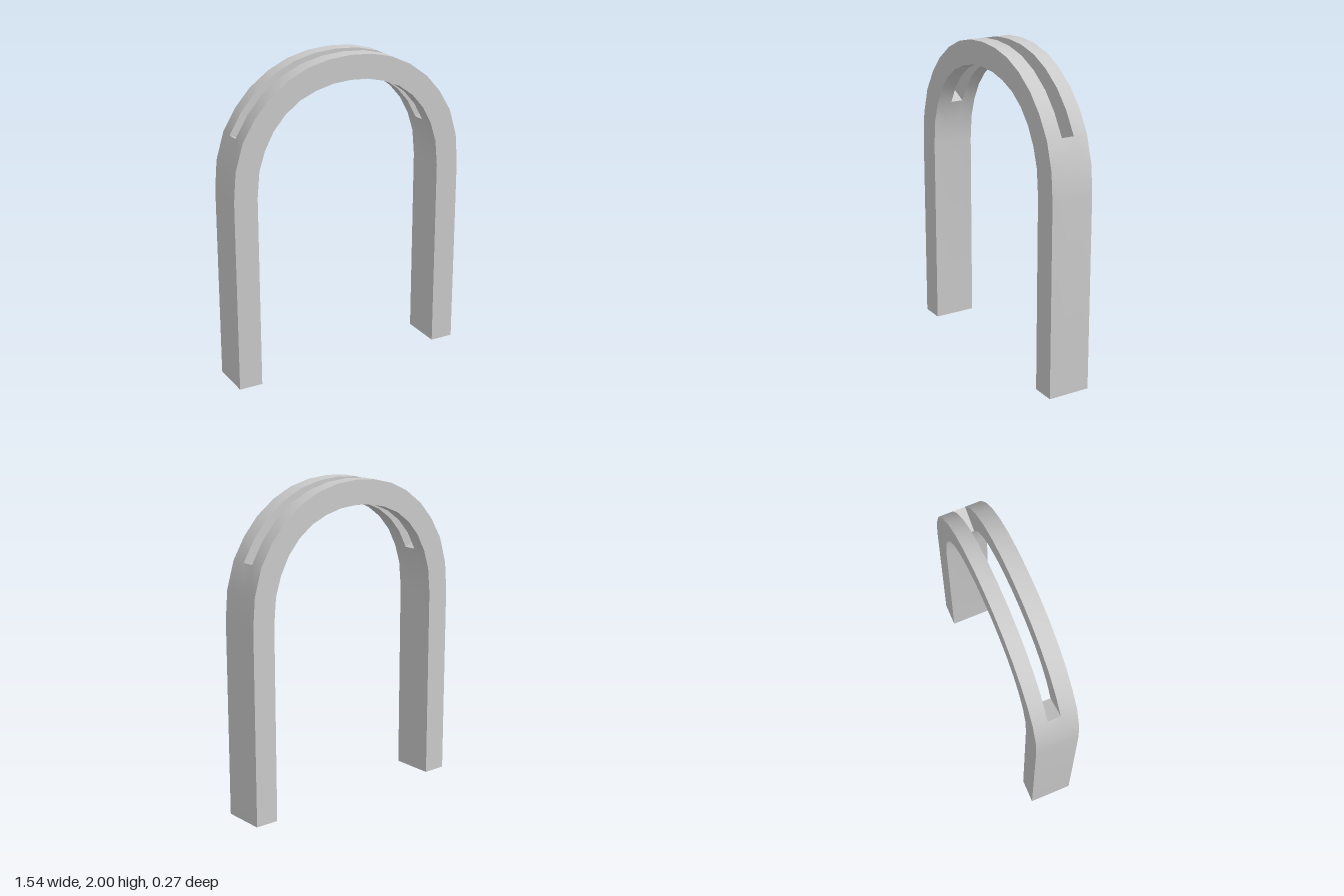
import * as THREE from 'three';
import { toCreasedNormals } from 'three/addons/utils/BufferGeometryUtils.js';

// Right half of the arch, foot to crown: [outer x, outer y, inner x, inner y]
const HALF = [
  [0.77, 0, 0.62, 0],
  [0.77, 1.22, 0.62, 1.22],
  [0.755, 1.40, 0.605, 1.38],
  [0.705, 1.568, 0.567, 1.50],
  [0.625, 1.70, 0.508, 1.61],
  [0.53, 1.807, 0.43, 1.70],
  [0.408, 1.897, 0.335, 1.77],
  [0.28, 1.957, 0.228, 1.815],
  [0.143, 1.99, 0.117, 1.842],
  [0, 2, 0, 1.85],
];
const SLOT_START = 3; // station where the slot through the curve begins
const Z = [-0.135, -0.045, 0.035, 0.135]; // back, slot back, slot front, front

function archGeometry() {
  const mirrored = HALF.slice(0, -1).reverse().map(([ox, oy, ix, iy]) => [-ox, oy, -ix, iy]);
  const stations = [...HALF, ...mirrored];
  const last = stations.length - 1;
  const outer = (i, z) => [stations[i][0], stations[i][1], z];
  const inner = (i, z) => [stations[i][2], stations[i][3], z];

  const positions = [];
  const quad = (a, b, c, d, flip = false) => {
    const [p, q, r, s] = flip ? [d, c, b, a] : [a, b, c, d];
    positions.push(...p, ...q, ...r, ...p, ...r, ...s);
  };
  // Face across the section, pointing along the path (or against it when flipped)
  const cap = (i, z0, z1, flip) =>
    quad(inner(i, z0), inner(i, z1), outer(i, z1), outer(i, z0), flip);
  // Face in the plane of the arch, pointing to +z (or -z when flipped)
  const wall = (i, z, flip) =>
    quad(inner(i, z), outer(i, z), outer(i + 1, z), inner(i + 1, z), flip);

  for (let i = 0; i < last; i++) {
    const slotted = i >= SLOT_START && i < last - SLOT_START;
    for (let k = 0; k < 3; k++) {
      if (slotted && k === 1) continue;
      const [a, b] = [Z[k], Z[k + 1]];
      quad(outer(i, a), outer(i + 1, a), outer(i + 1, b), outer(i, b));
      quad(inner(i, a), inner(i + 1, a), inner(i + 1, b), inner(i, b), true);
    }
    wall(i, Z[3], false);
    wall(i, Z[0], true);
    if (slotted) {
      wall(i, Z[1], false);
      wall(i, Z[2], true);
    }
  }
  // Feet and slot ends
  cap(0, Z[0], Z[3], true);
  cap(last, Z[0], Z[3], false);
  cap(SLOT_START, Z[1], Z[2], false);
  cap(last - SLOT_START, Z[1], Z[2], true);

  const geometry = new THREE.BufferGeometry();
  geometry.setAttribute('position', new THREE.Float32BufferAttribute(positions, 3));
  return toCreasedNormals(geometry, 0.7);
}

export function createModel() {
  const group = new THREE.Group();
  group.name = 'slottedArch';
  const arch = new THREE.Mesh(archGeometry(), new THREE.MeshStandardMaterial({ color: 0xcccccc }));
  arch.name = 'archBody';
  group.add(arch);
  return group;
}
